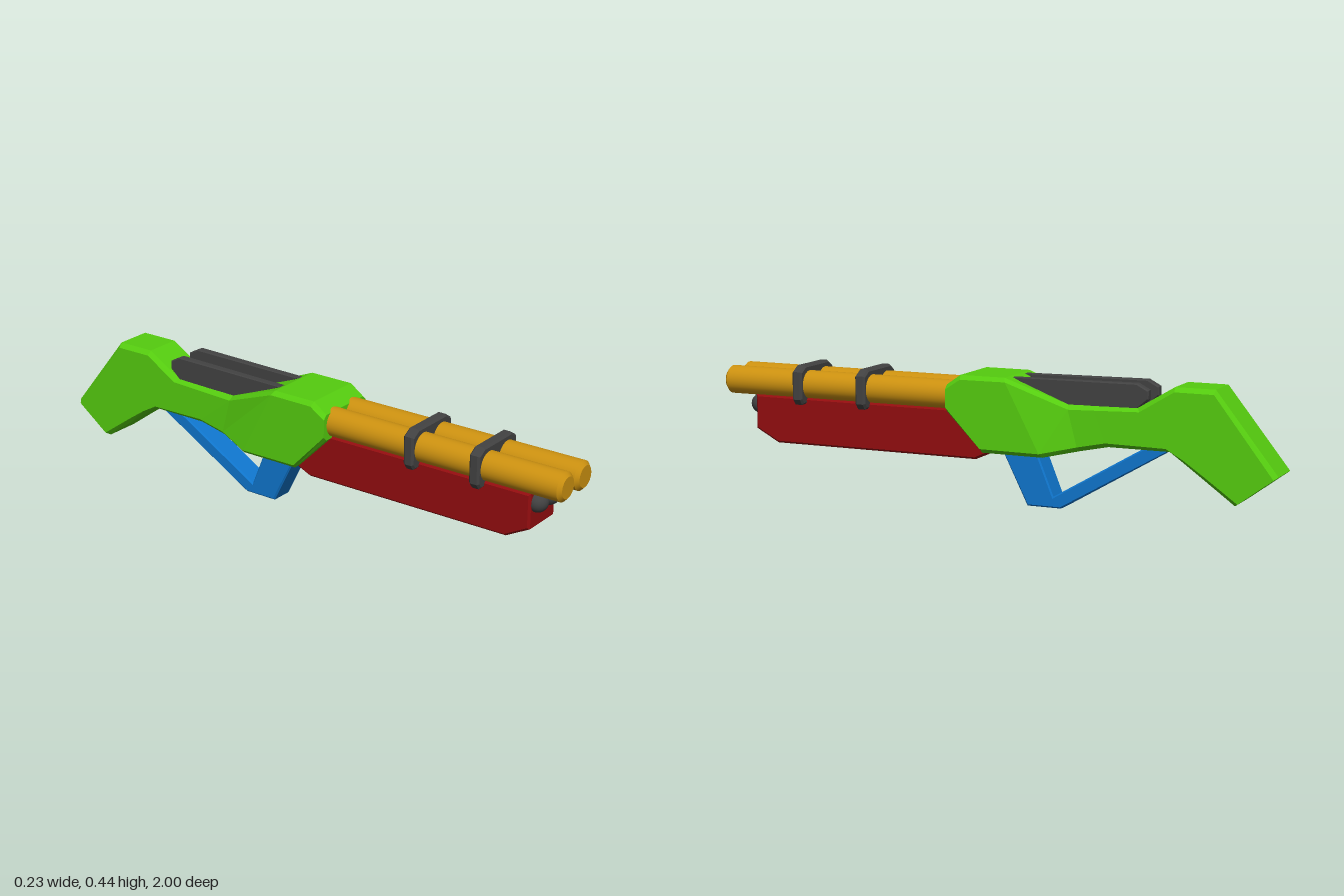
import * as THREE from 'three';

const mat = (name, color) => {
  const m = new THREE.MeshStandardMaterial({ color });
  m.name = name;
  return m;
};

// Extrudes a [z, y] side profile across x, with bevelled edges
function sideExtrude(profile, halfWidth, bevel) {
  const shape = new THREE.Shape(profile.map(([z, y]) => new THREE.Vector2(z, y)));
  const geo = new THREE.ExtrudeGeometry(shape, {
    depth: 2 * (halfWidth - bevel), bevelEnabled: true, bevelSegments: 1,
    bevelSize: bevel, bevelThickness: bevel, bevelOffset: -bevel,
  });
  geo.translate(0, 0, -(halfWidth - bevel));
  geo.rotateY(-Math.PI / 2);
  return geo;
}

// Lofts chamfered rectangles; each section is [topZ, topY, bottomZ, bottomY, halfWidth]
function loftSections(sections, c) {
  const rings = sections.map(([tz, ty, bz, by, w]) => {
    const f = c / Math.hypot(tz - bz, ty - by);
    const at = (x, t) => [x, by + (ty - by) * t, bz + (tz - bz) * t];
    return [at(w - c, 0), at(w, f), at(w, 1 - f), at(w - c, 1),
      at(c - w, 1), at(-w, 1 - f), at(-w, f), at(c - w, 0)];
  });
  const pos = [];
  const tri = (...pts) => pts.forEach((p) => pos.push(...p));
  for (let i = 0; i < rings.length - 1; i++) {
    for (let k = 0; k < 8; k++) {
      const n = (k + 1) % 8, a = rings[i], b = rings[i + 1];
      tri(a[k], b[k], b[n]);
      tri(a[k], b[n], a[n]);
    }
  }
  const first = rings[0], last = rings[rings.length - 1];
  for (let k = 1; k < 7; k++) {
    tri(first[0], first[k], first[k + 1]);
    tri(last[0], last[k + 1], last[k]);
  }
  const geo = new THREE.BufferGeometry();
  geo.setAttribute('position', new THREE.Float32BufferAttribute(pos, 3));
  geo.computeVertexNormals();
  return geo;
}

export function createModel() {
  const group = new THREE.Group();
  const green = mat('green', 0x55cc0f);
  const gold = mat('gold', 0xcc9110);
  const red = mat('red', 0x930d0f);
  const blue = mat('blue', 0x0f75cc);
  const dark = mat('darkGrey', 0x424242);
  const add = (name, geo, material, x = 0, y = 0, z = 0) => {
    const mesh = new THREE.Mesh(geo, material);
    mesh.name = name;
    mesh.position.set(x, y, z);
    group.add(mesh);
  };

  // Receiver tapering into the shoulder stock
  add('bodyAndStock', loftSections([
    [0.13, 0.40, 0.13, 0.31, 0.117],
    [0.08, 0.435, 0.0, 0.18, 0.117],
    [-0.08, 0.435, -0.215, 0.18, 0.117],
    [-0.29, 0.355, -0.33, 0.204, 0.079],
    [-0.38, 0.357, -0.43, 0.225, 0.077],
    [-0.53, 0.36, -0.64, 0.225, 0.077],
    [-0.655, 0.435, -0.69, 0.19, 0.077],
    [-0.79, 0.435, -0.76, 0.14, 0.077],
    [-1.0, 0.172, -0.86, 0.068, 0.077],
  ], 0.015), green);

  // Red fore-end under the barrels
  add('foreEnd', sideExtrude([
    [0.885, 0.315], [0.885, 0.195], [0.8, 0.15], [0.04, 0.15], [-0.06, 0.195], [-0.06, 0.315],
  ], 0.077, 0.007), red);

  // Twin barrels and the round plugs below their muzzles
  const barrel = new THREE.CylinderGeometry(0.049, 0.049, 0.94, 32, 1, true).rotateX(Math.PI / 2);
  const rim = new THREE.CylinderGeometry(0.036, 0.049, 0.012, 32, 1, true).rotateX(Math.PI / 2);
  const muzzle = new THREE.CircleGeometry(0.036, 32);
  const plug = new THREE.SphereGeometry(0.035, 24, 16);
  for (const [side, s] of [['left', 1], ['right', -1]]) {
    add(side + 'Barrel', barrel, gold, s * 0.0525, 0.36, 0.518);
    add(side + 'BarrelRim', rim, gold, s * 0.0525, 0.36, 0.994);
    add(side + 'Muzzle', muzzle, gold, s * 0.0525, 0.36, 1.0);
    add(side + 'Plug', plug, dark, s * 0.035, 0.278, 0.888);
  }

  // Dark clamps around both barrels
  const outline = [[0.08, 0.428], [0.112, 0.408], [0.112, 0.312], [0.098, 0.293]];
  const clampShape = new THREE.Shape(
    [...outline, ...outline.map(([x, y]) => [-x, y]).reverse()]
      .map(([x, y]) => new THREE.Vector2(x, y)));
  const clamp = new THREE.ExtrudeGeometry(clampShape, {
    depth: 0.024, bevelEnabled: true, bevelSegments: 1,
    bevelSize: 0.007, bevelThickness: 0.007, bevelOffset: -0.007,
  }).translate(0, 0, -0.012);
  add('frontClamp', clamp, dark, 0, 0, 0.7);
  add('rearClamp', clamp, dark, 0, 0, 0.455);

  // Two sighting fins on top of the body
  const fin = sideExtrude([
    [-0.09, 0.432], [-0.29, 0.34], [-0.51, 0.34], [-0.565, 0.388], [-0.565, 0.417], [-0.525, 0.438],
  ], 0.014, 0.004);
  add('leftFin', fin, dark, 0.049);
  add('rightFin', fin, dark, -0.049);

  // Blue grip with the brace running back to the stock
  add('gripAndBrace', sideExtrude([
    [-0.03, 0.21], [-0.135, 0.002], [-0.255, 0.002], [-0.65, 0.235],
    [-0.56, 0.235], [-0.228, 0.04], [-0.165, 0.195], [-0.165, 0.21],
  ], 0.043, 0.005), blue);

  return group;
}
